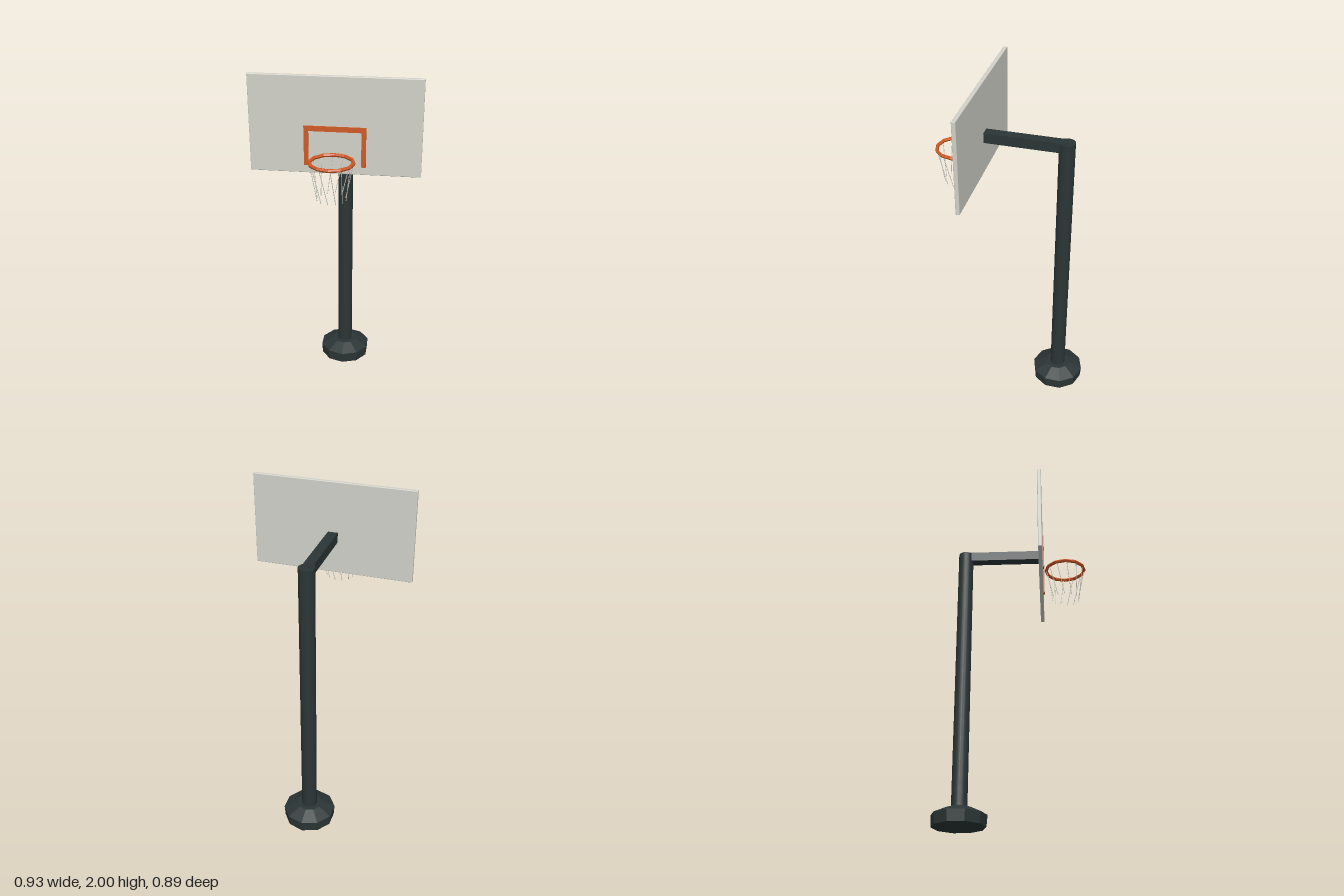
import * as THREE from 'three';
import { RoundedBoxGeometry } from 'three/addons/geometries/RoundedBoxGeometry.js';

const material = (name, color, flatShading = false) => {
  const m = new THREE.MeshStandardMaterial({ color });
  m.name = name;
  m.flatShading = flatShading;
  return m;
};

export function createModel() {
  const model = new THREE.Group();
  model.name = 'basketballHoop';
  const darkMetal = material('darkMetal', 0x2b3535);
  const boardWhite = material('boardWhite', 0xd2d2ca);
  const orange = material('orangePaint', 0xd05a24);

  const add = (name, geometry, mat, x = 0, y = 0, z = 0) => {
    const mesh = new THREE.Mesh(geometry, mat);
    mesh.name = name;
    mesh.position.set(x, y, z);
    model.add(mesh);
    return mesh;
  };
  const box = (name, mat, w, h, d, x, y, z) =>
    add(name, new THREE.BoxGeometry(w, h, d), mat, x, y, z);

  // Faceted foot with a sloping top
  const poleZ = -0.295;
  const faceted = (rTop, rBottom, h) =>
    new THREE.CylinderGeometry(rTop, rBottom, h, 10).toNonIndexed();
  const foot = faceted(0.155, 0.15, 0.065);
  const slope = faceted(0.075, 0.155, 0.037);
  for (const g of [foot, slope]) g.computeVertexNormals();
  add('baseFoot', foot, darkMetal, 0, 0.0325, poleZ);
  add('baseSlope', slope, darkMetal, 0, 0.0835, poleZ);

  // Upright and horizontal arm
  add('pole', new THREE.CylinderGeometry(0.045, 0.045, 1.605, 20), darkMetal, 0, 0.9025, poleZ);
  box('arm', darkMetal, 0.057, 0.058, 0.455, 0, 1.68, -0.0655);

  // Backboard and painted target frame
  add('backboard', new RoundedBoxGeometry(0.926, 0.535, 0.023, 2, 0.004), boardWhite, 0, 1.7325, 0.1715);
  box('targetTop', orange, 0.334, 0.028, 0.007, 0, 1.717, 0.1865);
  for (const side of [-1, 1]) {
    box('targetSide', orange, 0.025, 0.193, 0.007, side * 0.1545, 1.6065, 0.1865);
  }

  // Rim
  const rimY = 1.58, rimZ = 0.318;
  const rim = new THREE.TorusGeometry(0.117, 0.01, 6, 12).toNonIndexed();
  rim.rotateX(Math.PI / 2);
  rim.computeVertexNormals();
  add('rim', rim, orange, 0, rimY, rimZ);

  // Net strands, each twisting inwards as it hangs
  const net = new THREE.Group();
  net.name = 'net';
  model.add(net);
  const point = (deg, r, y) => {
    const a = THREE.MathUtils.degToRad(deg);
    return new THREE.Vector3(r * Math.cos(a), y, rimZ + r * Math.sin(a));
  };
  for (let i = 0; i < 12; i++) {
    const deg = i * 30 - 4;
    const path = new THREE.LineCurve3(point(deg, 0.116, rimY), point(deg - 20, 0.079, 1.373));
    const strand = new THREE.Mesh(new THREE.TubeGeometry(path, 1, 0.002, 5), boardWhite);
    strand.name = 'netStrand';
    net.add(strand);
  }
  return model;
}
